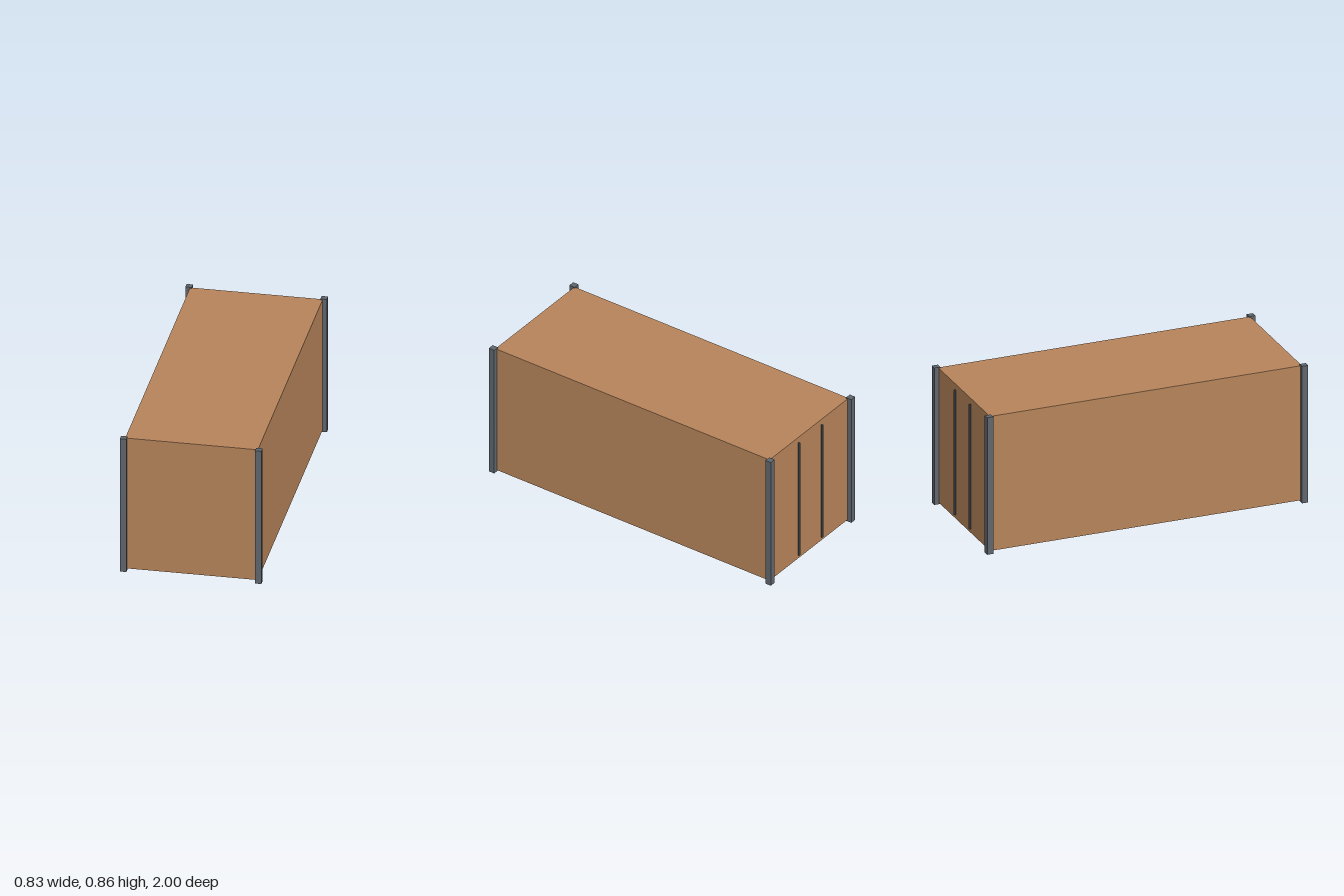
import * as THREE from 'three';

export function createModel() {
  const model = new THREE.Group();
  model.name = 'cargoContainer';
  const panel = new THREE.MeshStandardMaterial({ color: 0xb5835a });
  const steel = new THREE.MeshStandardMaterial({ color: 0x5f666d, flatShading: true });

  const add = (name, geometry, material, x, y, z) => {
    const mesh = new THREE.Mesh(geometry, material);
    mesh.name = name;
    mesh.position.set(x, y, z);
    model.add(mesh);
  };

  // Closed box body, raised slightly off the ground
  add('body', new THREE.BoxGeometry(0.778, 0.841, 1.944), panel, 0, 0.43, 0);

  const postGeometry = new THREE.BoxGeometry(0.038, 0.857, 0.038);
  const rodGeometry = new THREE.CylinderGeometry(0.007, 0.007, 0.78, 8);
  for (const [side, sx] of [['Left', 1], ['Right', -1]]) {
    // Corner posts
    for (const [end, sz] of [['front', 1], ['back', -1]]) {
      add(`${end}${side}Post`, postGeometry, steel, sx * 0.396, 0.4285, sz * 0.981);
    }
    // Door locking rods on the back
    add(`lockingRod${side}`, rodGeometry, steel, sx * 0.113, 0.43, -0.983);
  }
  return model;
}
